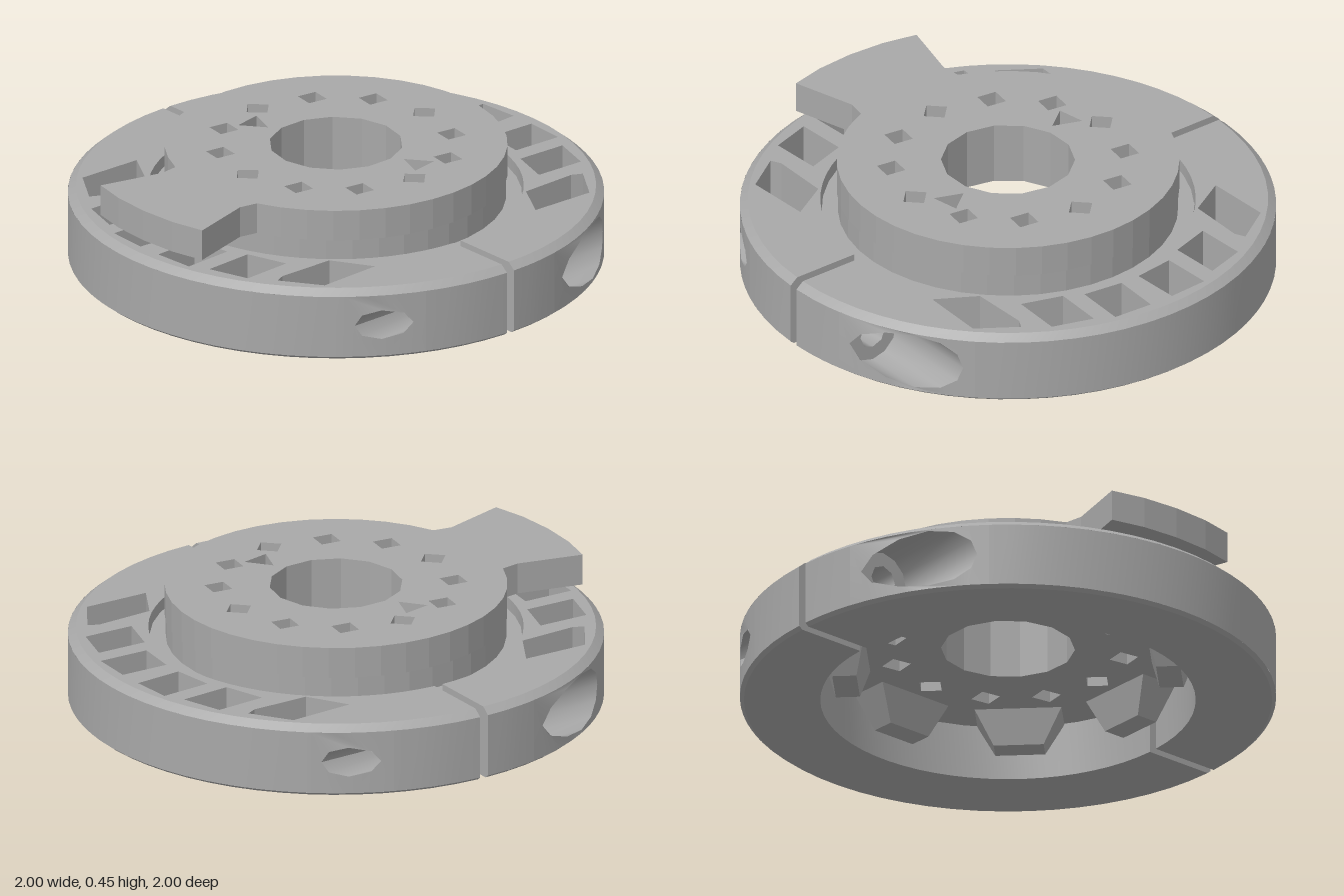
import * as THREE from 'three';

const metal = new THREE.MeshStandardMaterial({ color: 0xa8a8a8, side: THREE.DoubleSide });
metal.name = 'grey metal';
const V = (x, y, z) => new THREE.Vector3(x, y, z);
const rad = THREE.MathUtils.degToRad;

function add(group, geometry, name) {
  const mesh = new THREE.Mesh(geometry, metal);
  mesh.name = name;
  group.add(mesh);
  return mesh;
}

// Band of quads joining two rows of points
function strip(a, b, sharp = false) {
  const index = [], n = a.length;
  for (let i = 0; i < n - 1; i++) index.push(i, n + i, i + 1, i + 1, n + i, n + i + 1);
  let g = new THREE.BufferGeometry().setFromPoints([...a, ...b]);
  g.setIndex(index);
  if (sharp) g = g.toNonIndexed();
  g.computeVertexNormals();
  return g;
}

// Shape from [x, y] points, with holes
function shapeOf(points, holes = []) {
  const toV2 = (list) => list.map(([x, y]) => new THREE.Vector2(x, y));
  const s = new THREE.Shape(toV2(points));
  s.holes = holes.map((h) => new THREE.Path(toV2(h)));
  return s;
}

// Flat horizontal face given by [x, z] points
function plate(points, holes, y, up) {
  const s = up ? -1 : 1, flip = (list) => list.map(([x, z]) => [x, s * z]);
  return new THREE.ShapeGeometry(shapeOf(flip(points), holes.map(flip))).rotateX(s * Math.PI / 2).translate(0, y, 0);
}

// Horizontal slab between two heights
function slab(points, holes, y0, y1) {
  const flip = (list) => list.map(([x, z]) => [x, -z]);
  return new THREE.ExtrudeGeometry(shapeOf(flip(points), holes.map(flip)), { depth: y1 - y0, bevelEnabled: false })
    .rotateX(-Math.PI / 2).translate(0, y0, 0);
}

function polygon(cx, cy, r, n, turn = 0) {
  return Array.from({ length: n }, (_, i) => {
    const a = turn + i / n * Math.PI * 2;
    return [cx + r * Math.cos(a), cy + r * Math.sin(a)];
  });
}

const GAP = 0.035, TOP = 0.28, INNER = 0.7, BOLT_Y = 0.137, BOLT_Z = 0.85;
const LOW = 0.012, HIGH = 0.255, BORE = 0.112, HOLE = 0.058, SEAT = 0.27;

// Plan of half a ring edge, back gap to front gap
function arc(r, n = 32) {
  const start = -Math.acos(GAP / r);
  return Array.from({ length: n + 1 }, (_, i) => {
    const t = start + (Math.PI / 2 - start) * i / n;
    return [r * Math.cos(t), r * Math.sin(t)];
  });
}
const lift = (points, y) => points.map(([x, z]) => V(x, y, z));

// Curved outer wall between two angles, optionally pierced by a bolt hole
function wall(t0, t1, hole) {
  const n = Math.ceil((t1 - t0) / rad(5));
  const ts = Array.from({ length: n + 1 }, (_, i) => t0 + (t1 - t0) * i / n);
  const row = (y) => ts.map((t) => V(Math.cos(t), y, Math.sin(t)));
  if (!hole) return strip(row(LOW), row(HIGH));
  const outline = [...ts.map((t) => [t, LOW]), ...ts.map((t) => [t, HIGH]).reverse()];
  const g = new THREE.ShapeGeometry(shapeOf(outline, [hole.map(([z, y]) => [Math.asin(z), y])]));
  const p = g.attributes.position;
  for (let i = 0; i < p.count; i++) {
    const t = p.getX(i);
    p.setXYZ(i, Math.cos(t), p.getY(i), Math.sin(t));
  }
  g.computeVertexNormals();
  return g;
}

// Tube along x through [z, y] points; without x1 it ends at the outer wall
function boltTube(points, x0, x1) {
  const closed = [...points, points[0]];
  return strip(closed.map(([z, y]) => V(x0, y, z)),
    closed.map(([z, y]) => V(x1 ?? Math.sqrt(1 - z * z), y, z)));
}

// Upright face at a given x from [z, y] outline
function uprightFace(points, hole, x) {
  const g = new THREE.ShapeGeometry(shapeOf(points, [hole]));
  return g.rotateY(-Math.PI / 2).translate(x, 0, 0);
}

function halfRing() {
  const half = new THREE.Group();
  half.name = 'clampHalf';

  // Pockets sunk into the top
  const side = [
    [[0.40, 0.67], [0.66, 0.68], [0.76, 0.53], [0.72, 0.51], [0.49, 0.515]],
    [[0.63, 0.43], [0.83, 0.44], [0.88, 0.28], [0.68, 0.27]],
    [[0.72, 0.20], [0.92, 0.21], [0.93, 0.05], [0.74, 0.04]],
  ];
  const pockets = [...side, ...side.map((p) => p.map(([x, z]) => [x, -z]))];
  for (const p of pockets) {
    const loop = [...p, p[0]];
    add(half, strip(lift(loop, 0.08), lift(loop, TOP), true), 'pocketWall');
    add(half, plate(p, [], 0.08, true), 'pocketFloor');
  }

  // Faces, chamfers and inner wall
  const band = (r) => [...arc(r), ...arc(INNER).reverse()];
  add(half, plate(band(0.97), pockets, TOP, true), 'ringTop');
  add(half, plate(band(0.985), [], 0, false), 'ringBottom');
  add(half, strip(lift(arc(1), HIGH), lift(arc(0.97), TOP)), 'topChamfer');
  add(half, strip(lift(arc(0.985), 0), lift(arc(1), LOW)), 'bottomChamfer');
  add(half, strip(lift(arc(INNER), 0), lift(arc(INNER), TOP)), 'innerWall');

  // Outer wall with counterbore and bolt exit
  const bore = polygon(BOLT_Z, BOLT_Y, BORE, 12);
  const seatHole = polygon(BOLT_Z, BOLT_Y, HOLE, 8);
  const exitHole = polygon(-BOLT_Z, BOLT_Y, HOLE, 8);
  const cuts = [-Math.acos(GAP), rad(-68), rad(-50), rad(45), rad(77), Math.PI / 2];
  const holes = [null, exitHole, null, bore, null];
  holes.forEach((h, i) => add(half, wall(cuts[i], cuts[i + 1], h), 'outerWall'));
  add(half, boltTube(bore, SEAT), 'counterbore');
  add(half, uprightFace(bore, seatHole, SEAT), 'boltSeat');
  add(half, boltTube(seatHole, -GAP, SEAT), 'boltHole');
  add(half, boltTube(exitHole, GAP), 'boltExit');
  add(half, boltTube(polygon(BOLT_Z, BOLT_Y, 0.072, 12), -GAP, 0), 'boltSleeve');

  // Faces at the two gaps
  const end = [[INNER, 0], [0.985, 0], [1, LOW], [1, HIGH], [0.97, TOP], [INNER, TOP]];
  add(half, uprightFace(end, seatHole, 0), 'frontGapFace');
  add(half, uprightFace(end.map(([z, y]) => [-z, y]), exitHole, GAP), 'backGapFace');
  return half;
}

function hub() {
  const group = new THREE.Group();
  group.name = 'hub';
  const bore = polygon(0, 0, 0.25, 14);
  const pins = Array.from({ length: 12 }, (_, i) => {
    const a = i * Math.PI / 6;
    return polygon(0.44 * Math.cos(a), 0.44 * Math.sin(a), 0.055, 4, i % 3 ? Math.PI / 4 + 0.15 : 0);
  });
  const notch = [[-0.16, -0.37], [-0.05, -0.39], [-0.09, -0.28]];
  const notches = [notch, notch.map(([x, z]) => [-x, -z])];

  // Upper layer carries the lever tab
  const start = Math.PI + rad(21), rim = [];
  for (let i = 0; i <= 36; i++) {
    const t = start + rad(318) * i / 36;
    rim.push([0.64 * Math.cos(t), 0.64 * Math.sin(t)]);
  }
  const tab = [[-0.67, 0.215], [-0.92, 0.285], [-0.95, 0.15], [-0.96, 0], [-0.95, -0.15], [-0.92, -0.285], [-0.67, -0.22]];
  add(group, slab([...rim, ...tab], [bore, ...pins, ...notches], 0.33, 0.45), 'hubTopWithTab');

  // Lower layer and the flange held inside the ring
  add(group, slab(polygon(0, 0, 0.635, 40), [bore, ...pins], 0.24, 0.33), 'hubBody');
  add(group, slab(polygon(0, 0, 0.695, 40), [bore, ...pins], 0.21, 0.24), 'flange');

  // Tapered lugs under the flange
  for (let i = 0; i < 8; i++) {
    const g = new THREE.CylinderGeometry(Math.SQRT1_2, 0.4, 0.14, 4, 1).toNonIndexed();
    g.rotateY(Math.PI / 4).scale(0.16, 1, 0.33).translate(0.605, 0.145, 0).rotateY(i * Math.PI / 4);
    g.computeVertexNormals();
    add(group, g, 'lug');
  }
  return group;
}

export function createModel() {
  const model = new THREE.Group();
  model.name = 'splitClampRing';
  const left = halfRing(), right = halfRing();
  right.rotation.y = Math.PI;
  model.add(left, right, hub());
  return model;
}
